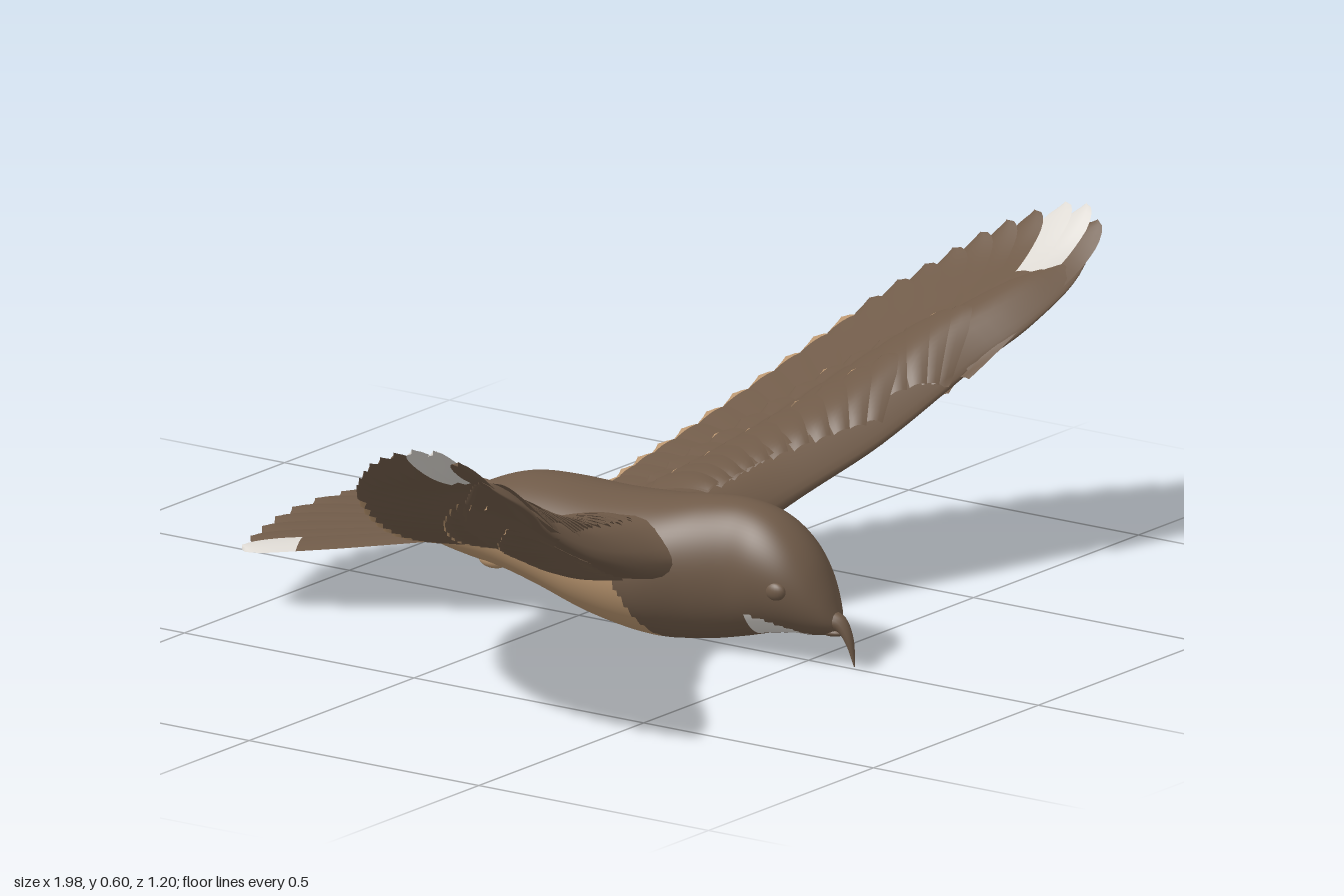
import * as THREE from 'three';
import { mergeVertices } from 'three/addons/utils/BufferGeometryUtils.js';

const mat = (name, color) => new THREE.MeshStandardMaterial({ name, color, side: THREE.DoubleSide });
const brown = mat('plumage brown', 0x6f5a48);
const tan = mat('belly tan', 0xb8946e);
const white = mat('patch white', 0xdcd8d2);
const mats = [brown, tan, white];

// Smooth interpolation through rows [key, value, value...] with rising keys
function curve(rows, k, col = 1) {
  const n = rows.length - 1;
  if (k <= rows[0][0]) return rows[0][col];
  if (k >= rows[n][0]) return rows[n][col];
  let i = 0;
  while (rows[i + 1][0] < k) i++;
  const slope = (j) => {
    const a = rows[Math.max(j - 1, 0)], b = rows[Math.min(j + 1, n)];
    return (b[col] - a[col]) / (b[0] - a[0]);
  };
  const h = rows[i + 1][0] - rows[i][0], t = (k - rows[i][0]) / h, t2 = t * t, t3 = t2 * t;
  return (2 * t3 - 3 * t2 + 1) * rows[i][col] + (t3 - 2 * t2 + t) * h * slope(i)
    + (3 * t2 - 2 * t3) * rows[i + 1][col] + (t3 - t2) * h * slope(i + 1);
}

// Surface from a function of (u, v); pick chooses a colour index for each patch
function surface(name, nu, nv, fn, pick = () => 0) {
  const pos = [], faces = [[], [], []], id = (i, j) => i * (nv + 1) + j;
  for (let i = 0; i <= nu; i++) for (let j = 0; j <= nv; j++) pos.push(...fn(i / nu, j / nv));
  for (let i = 0; i < nu; i++) for (let j = 0; j < nv; j++) {
    const u = (i + 0.5) / nu, v = (j + 0.5) / nv;
    const a = id(i, j), b = id(i + 1, j), c = id(i + 1, j + 1), d = id(i, j + 1);
    faces[pick(u, v, fn(u, v))].push(a, b, c, a, c, d);
  }
  let g = new THREE.BufferGeometry();
  g.setAttribute('position', new THREE.Float32BufferAttribute(pos, 3));
  g.setIndex(faces.flat());
  g = mergeVertices(g, 1e-5);
  g.computeVertexNormals();
  let start = 0;
  faces.forEach((f, m) => {
    if (f.length) g.addGroup(start, f.length, m);
    start += f.length;
  });
  const mesh = new THREE.Mesh(g, mats);
  mesh.name = name;
  return mesh;
}

// Flat feather with a rounded tip, laid on the height rule yAt(x, z)
function feather(name, base, tip, half, yAt, mark = 2, markMat = 0) {
  const dx = tip[0] - base[0], dz = tip[1] - base[1], len = Math.hypot(dx, dz);
  return surface(name, 18, 4, (s, v) => {
    const u = 1 - (1 - s) ** 1.4, k = v * 2 - 1;
    const round = u > 0.85 ? Math.sqrt(Math.max(0, 1 - ((u - 0.85) / 0.15) ** 2)) : 1;
    const w = half * Math.min(1, 0.45 + u * 0.9) * round * k;
    const x = base[0] + dx * u - dz / len * w, z = base[1] + dz * u + dx / len * w;
    return [x, yAt(x, z) + 0.004 * (1 - k * k) + 0.004 * k, z];
  }, (s) => (1 - (1 - s) ** 1.4 > mark ? markMat : 0));
}

// Body rows: z, top, bottom, half width
const BODY = [
  [-0.35, 0.122, 0.118, 0.002], [-0.34, 0.135, 0.105, 0.025], [-0.27, 0.17, 0.09, 0.07],
  [-0.2, 0.215, 0.08, 0.1], [-0.12, 0.245, 0.068, 0.112], [-0.04, 0.252, 0.05, 0.125],
  [0.08, 0.25, 0.018, 0.14], [0.2, 0.258, 0.001, 0.135], [0.3, 0.272, 0.011, 0.105],
  [0.37, 0.275, 0.026, 0.09], [0.43, 0.262, 0.042, 0.086], [0.48, 0.232, 0.05, 0.075],
  [0.52, 0.188, 0.052, 0.056], [0.55, 0.13, 0.058, 0.033], [0.565, 0.09, 0.067, 0.014],
  [0.57, 0.08, 0.078, 0.001]];

// Wing rules along x: leading z, trailing z, trailing height, camber, arm thickness
const LEAD = [[0.05, 0.31], [0.11, 0.28], [0.2, 0.275], [0.28, 0.29], [0.43, 0.335], [0.65, 0.395],
  [0.75, 0.44], [0.86, 0.46], [0.96, 0.44], [1, 0.41]];
const TRAIL = [[0.05, -0.1], [0.14, -0.11], [0.3, -0.1], [0.45, -0.07], [0.62, -0.01], [0.78, 0.07],
  [0.89, 0.15], [0.95, 0.24], [0.98, 0.32], [1, 0.39]];
const HEIGHT = [[0.05, 0.14], [0.14, 0.15], [0.3, 0.19], [0.45, 0.24], [0.62, 0.32], [0.78, 0.415],
  [0.89, 0.49], [1, 0.595]];
const CAMBER = [[0.05, 0.035], [0.2, 0.04], [0.4, 0.058], [0.65, 0.066], [0.8, 0.055], [0.92, 0.025], [1, 0.005]];
const THICK = [[0.05, 0.06], [0.2, 0.042], [0.3, 0.03], [0.5, 0.022], [0.7, 0.015], [0.9, 0.003]];
const FRACTION = [[0.05, 0.75], [0.3, 0.62], [0.6, 0.5], [0.8, 0.3], [0.9, 0.1]];
const ARCH = [[0, 0.55], [0.2, 1], [0.5, 0.65], [1, 0]];

const wingY = (x, c) => curve(HEIGHT, x) + curve(CAMBER, x) * curve(ARCH, c);
const chordAt = (x, z) => {
  const l = curve(LEAD, x), t = curve(TRAIL, x);
  return THREE.MathUtils.clamp((l - z) / Math.max(l - t, 0.02), 0, 1);
};
const armHalf = (x, c) => {
  const k = 1 - 2 * c / curve(FRACTION, x);
  return k > -1 ? curve(THICK, x) * Math.sqrt(Math.max(0, 1 - k * k)) : 0;
};
const layerY = (side, gap) => (x, z) => {
  const c = chordAt(x, z);
  return wingY(x, c) + side * (armHalf(x, c) + gap);
};

// Feather rows: position along wing, base x, base z, tip x, tip z
const FLIGHT = [[0, 0.12, 0.1, 0.15, -0.11], [0.2, 0.25, 0.16, 0.34, -0.1], [0.4, 0.4, 0.2, 0.57, -0.03],
  [0.6, 0.52, 0.27, 0.785, 0.08], [0.75, 0.6, 0.33, 0.91, 0.19], [0.85, 0.62, 0.35, 0.965, 0.28],
  [0.93, 0.64, 0.37, 0.995, 0.37], [1, 0.62, 0.39, 0.97, 0.433]];
const COVERTS = [[0, 0.13, 0.2, 0.15, -0.04], [0.3, 0.28, 0.22, 0.35, 0], [0.6, 0.42, 0.27, 0.55, 0.1],
  [0.85, 0.55, 0.34, 0.68, 0.22], [1, 0.58, 0.37, 0.71, 0.31]];
const LESSER = [[0, 0.13, 0.2, 0.15, 0.06], [0.4, 0.25, 0.22, 0.32, 0.09], [0.75, 0.38, 0.28, 0.47, 0.16],
  [1, 0.45, 0.32, 0.57, 0.25]];

function row(group, name, rows, count, half, yAt, markOf) {
  for (let i = 0; i < count; i++) {
    const p = [1, 2, 3, 4].map((c) => curve(rows, i / (count - 1), c));
    group.add(feather(name, [p[0], p[1]], [p[2], p[3]], half, yAt, ...markOf(i)));
  }
}

function makeWing() {
  const wing = new THREE.Group();
  // Thick feathered arm
  wing.add(surface('wingArm', 40, 28, (u, v) => {
    const x = 0.05 + 0.85 * u, a = v * Math.PI * 2, f = curve(FRACTION, x);
    const c = f / 2 * (1 - Math.cos(a)), l = curve(LEAD, x);
    const y = wingY(x, c) + curve(THICK, x) * Math.sin(a) * (a > Math.PI ? 1.2 : 1);
    return [x, y, l - c * (l - curve(TRAIL, x))];
  }));
  // Flight feathers: pale inner tips, white patch near the wing tip
  row(wing, 'flightFeather', FLIGHT, 23, 0.034, (x, z) => wingY(x, chordAt(x, z)),
    (i) => (i === 20 || i === 21 ? [0.56, 2] : i < 13 ? [0.965, 1] : [2, 0]));
  // Covert rows above and below
  for (const side of [1, -1]) {
    row(wing, 'covert', COVERTS, 15, 0.034, layerY(side, 0.006), (i) => (side < 0 || i % 4 === 1 ? [0.98, 1] : [2, 0]));
    row(wing, 'lesserCovert', LESSER, 11, 0.032, layerY(side, 0.01), (i) => (side < 0 || i % 2 ? [0.98, 1] : [2, 0]));
  }
  return wing;
}

function ball(name, m, p, s) {
  const b = new THREE.Mesh(new THREE.SphereGeometry(1, 20, 14), m);
  b.name = name;
  b.position.set(...p);
  b.scale.set(...s);
  return b;
}

export function createModel() {
  const bird = new THREE.Group();
  bird.name = 'bird';

  // Body with tan belly and white throat patches
  bird.add(surface('body', 120, 72, (u, v) => {
    const z = 0.57 - 0.92 * u, a = v * Math.PI * 2;
    const top = curve(BODY, z, 1), bot = curve(BODY, z, 2);
    return [Math.cos(a) * curve(BODY, z, 3), (top + bot) / 2 + Math.sin(a) * (top - bot) / 2, z];
  }, (u, v, [x, y, z]) => {
    if (z > 0.41 && z < 0.52 && Math.abs(x) > 0.02 && y < 0.055 + (0.52 - z) * 0.32) return 2;
    return z < 0.22 - y * 0.4 && y < 0.15 + Math.min(0, z + 0.1) * 0.15 ? 1 : 0;
  }));

  // Hooked beak: key, y, z, radius
  const BEAK = [[0, 0.083, 0.545, 0.022], [0.35, 0.077, 0.572, 0.014], [0.7, 0.048, 0.59, 0.008], [1, 0.005, 0.6, 0.001]];
  bird.add(surface('beak', 16, 14, (u, v) => {
    const a = -v * Math.PI * 2, r = curve(BEAK, u, 3), bend = u * 1.3;
    return [Math.cos(a) * r, curve(BEAK, u, 1) + Math.sin(a) * r * Math.cos(bend),
      curve(BEAK, u, 2) + Math.sin(a) * r * Math.sin(bend)];
  }));
  bird.add(ball('lowerBeak', brown, [0, 0.062, 0.55], [0.014, 0.008, 0.026]));

  // Eyes and tucked feet
  for (const s of [1, -1]) {
    bird.add(ball('eye', brown, [s * 0.07, 0.14, 0.477], [0.012, 0.017, 0.022]));
    bird.add(ball('tuckedFoot', tan, [s * 0.05, 0.09, -0.15], [0.016, 0.015, 0.03]));
  }

  // Wings
  const left = makeWing();
  left.name = 'leftWing';
  const right = left.clone();
  right.name = 'rightWing';
  right.scale.x = -1;
  bird.add(left, right);

  // Tail fan, outer feathers tipped white
  const tail = new THREE.Group();
  tail.name = 'tail';
  const tailY = (lift) => (x, z) => 0.1 + 0.12 * (z + 0.6) + lift;
  const tips = [[0.035, -0.6], [0.1, -0.59], [0.165, -0.572], [0.23, -0.55], [0.288, -0.527]];
  for (const s of [1, -1]) {
    tips.forEach(([x, z], i) => tail.add(feather('tailFeather', [s * x * 0.26, -0.1], [s * x, z], 0.042,
      tailY(0.004 - i * 0.002), i === 4 ? 0.76 : 2, 2)));
    for (const [x, z] of [[0.13, -0.31], [0.07, -0.36]])
      tail.add(feather('tailCovert', [s * x * 0.5, -0.1], [s * x * 0.9, z], 0.042, tailY(0.018)));
  }
  tail.add(feather('tailCovert', [0, -0.1], [0, -0.345], 0.045, tailY(0.023)));
  bird.add(tail);
  return bird;
}
